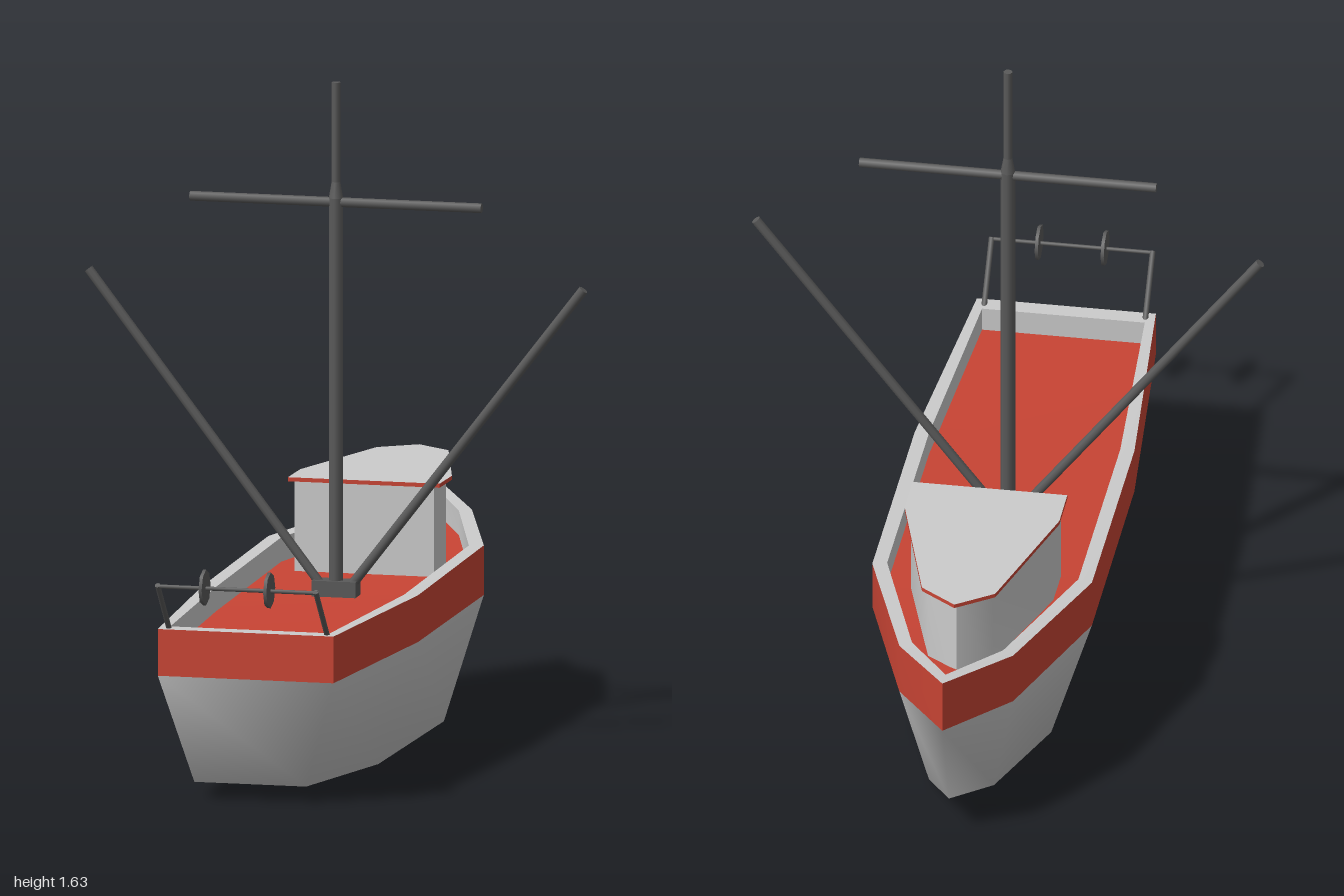
import * as THREE from 'three';
import { toCreasedNormals } from 'three/addons/utils/BufferGeometryUtils.js';

const grey = new THREE.MeshStandardMaterial({ color: 0xcccccc });
const red = new THREE.MeshStandardMaterial({ color: 0xc84434 });
const dark = new THREE.MeshStandardMaterial({ color: 0x5a5a5a });

// Closed outline from a half outline: bow point first, then the +x side to the stern
function loop(half) {
  const mirrored = half.slice(1).reverse().map(([x, y, z]) => [-x, y, z]);
  return [...half, ...mirrored];
}

const atHeight = (half, y) => loop(half.map(([x, z]) => [x, y, z]));

// Skin between successive outlines, with optional caps on the first and last
function skin(loops, { bottom = false, top = false, crease = 0.45 } = {}) {
  const n = loops[0].length;
  const index = [];
  const tri = (a, b, c) => { if (a !== b && b !== c && a !== c) index.push(a, b, c); };
  for (let k = 0; k < loops.length - 1; k++) {
    for (let i = 0; i < n; i++) {
      const j = (i + 1) % n;
      const a = k * n, b = a + n;
      tri(a + i, b + i, b + j);
      tri(a + i, b + j, a + j);
    }
  }
  const cap = (base, up) => {
    for (let i = 0; i < (n - 1) / 2; i++) {
      const q = [i, (n - i) % n, n - i - 1, i + 1].map((v) => v + base);
      if (!up) q.reverse();
      tri(q[0], q[1], q[2]);
      tri(q[0], q[2], q[3]);
    }
  };
  if (bottom) cap(0, false);
  if (top) cap((loops.length - 1) * n, true);
  const geo = new THREE.BufferGeometry();
  geo.setAttribute('position', new THREE.Float32BufferAttribute(loops.flat(2), 3));
  geo.setIndex(index);
  geo.computeVertexNormals();
  return crease ? toCreasedNormals(geo, crease) : geo;
}

// Straight round bar between two points
function bar(from, to, r0, r1 = r0, sides = 8) {
  const a = new THREE.Vector3(...from), b = new THREE.Vector3(...to);
  const d = b.clone().sub(a);
  const geo = new THREE.CylinderGeometry(r1, r0, d.length(), sides);
  geo.applyQuaternion(new THREE.Quaternion().setFromUnitVectors(new THREE.Vector3(0, 1, 0), d.normalize()));
  geo.translate(...a.add(b).multiplyScalar(0.5).toArray());
  return geo;
}

export function createModel() {
  const model = new THREE.Group();
  const add = (name, geo, material, parent = model) => {
    const mesh = new THREE.Mesh(geo, material);
    mesh.name = name;
    parent.add(mesh);
    return mesh;
  };

  // Hull outlines, bow to stern
  const keel = loop([[0, 0.1, -0.9], [0.08, 0.03, -0.71], [0.17, 0, -0.4], [0.17, 0, 0.24], [0.14, 0.04, 0.825]]);
  const waist = loop([[0, 0.355, -1], [0.14, 0.325, -0.79], [0.27, 0.315, -0.4], [0.27, 0.305, 0.24], [0.22, 0.305, 0.87]]);
  const railOuter = loop([[0, 0.49, -1], [0.14, 0.455, -0.79], [0.27, 0.437, -0.4], [0.27, 0.42, 0.24], [0.22, 0.42, 0.87]]);
  const railInner = loop([[0, 0.485, -0.95], [0.112, 0.455, -0.77], [0.235, 0.437, -0.39], [0.235, 0.42, 0.24], [0.2, 0.42, 0.825]]);
  const deckEdge = railInner.map(([x, y, z]) => [x, y - 0.06, z]);

  add('lowerHull', skin([keel, waist], { bottom: true, crease: 0 }), grey);
  add('hullStripe', skin([waist, railOuter], { crease: 0.7 }), red);
  add('railCap', skin([railOuter, railInner]), grey);
  add('bulwarkInside', skin([railInner, deckEdge], { crease: 0.7 }), grey);
  add('deck', skin([deckEdge], { top: true }), red);

  // Wheelhouse with an overhanging roof
  const wallPlan = [[0, -0.785], [0.08, -0.725], [0.175, -0.4], [0.175, -0.285]];
  const roofPlan = [[0, -0.82], [0.09, -0.755], [0.19, -0.4], [0.19, -0.28]];
  const cabin = new THREE.Group();
  cabin.name = 'cabin';
  model.add(cabin);
  add('cabinWalls', skin([atHeight(wallPlan, 0.35), atHeight(wallPlan, 0.597)], { crease: 0.9 }), grey, cabin);
  add('roofEdge', skin([atHeight(roofPlan, 0.595), atHeight(roofPlan, 0.605)], { bottom: true }), red, cabin);
  add('roofTop', skin([atHeight(roofPlan, 0.605)], { top: true }), grey, cabin);

  // Mast, yard and slanted booms
  const z = -0.01;
  const rig = new THREE.Group();
  rig.name = 'rigging';
  model.add(rig);
  const foot = new THREE.BoxGeometry(0.11, 0.04, 0.05);
  foot.translate(0, 0.385, z);
  add('mastFoot', foot, dark, rig);
  add('lowerMast', bar([0, 0.36, z], [0, 1.345, z], 0.018), dark, rig);
  add('mastTaper', bar([0, 1.345, z], [0, 1.385, z], 0.018, 0.011), dark, rig);
  add('upperMast', bar([0, 1.385, z], [0, 1.63, z], 0.011), dark, rig);
  add('yard', bar([-0.365, 1.335, z], [0.365, 1.335, z], 0.012), dark, rig);
  for (const [side, s] of [['left', 1], ['right', -1]]) {
    add(side + 'Boom', bar([s * 0.04, 0.395, z], [s * 0.62, 1.145, z], 0.012), dark, rig);
  }

  // Net hauler over the stern
  const hauler = new THREE.Group();
  hauler.name = 'netHauler';
  model.add(hauler);
  add('haulerBar', bar([-0.203, 0.54, 0.955], [0.203, 0.54, 0.955], 0.005), dark, hauler);
  for (const [side, s] of [['left', 1], ['right', -1]]) {
    add(side + 'HaulerArm', bar([s * 0.198, 0.41, 0.838], [s * 0.198, 0.543, 0.957], 0.007), dark, hauler);
    add(side + 'HaulerWheel', bar([s * 0.077, 0.542, 0.955], [s * 0.085, 0.542, 0.955], 0.044), dark, hauler);
  }
  return model;
}
